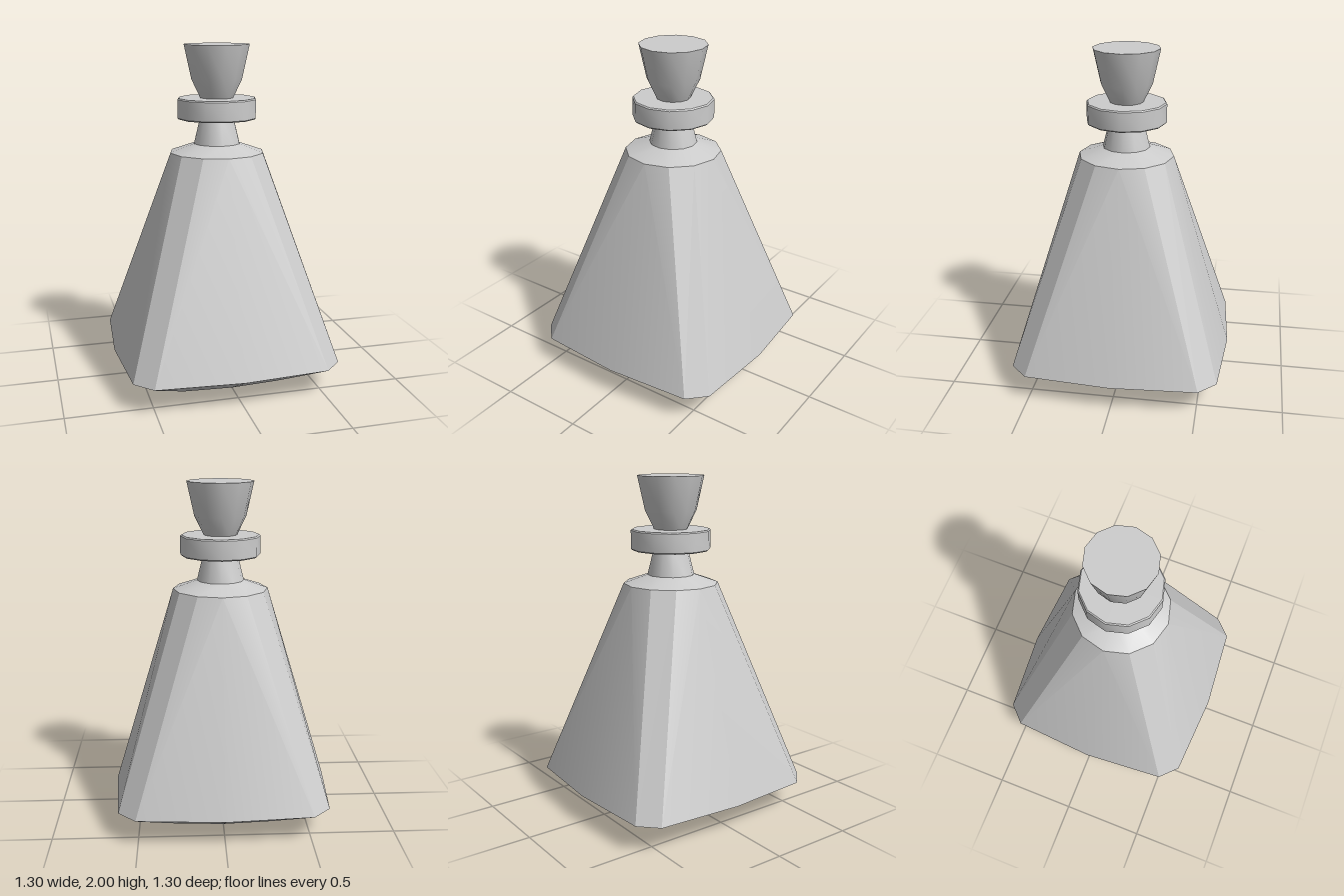
import * as THREE from 'three';
import { toCreasedNormals } from 'three/addons/utils/BufferGeometryUtils.js';

const SIDES = 12;

// Regular ring on the neck side of the body
function roundRing(r, y) {
  return Array.from({ length: SIDES }, (_, i) => {
    const a = (i / SIDES) * Math.PI * 2;
    return [r * Math.sin(a), y, r * Math.cos(a)];
  });
}

// Bulging square with cut corners: three points per quarter turn
function squareRing(scale, y) {
  const quarter = [[0, 0.65], [0.51, 0.613], [0.613, 0.51]];
  const ring = [];
  for (let q = 0; q < 4; q++) {
    const c = Math.round(Math.cos(q * Math.PI / 2)), s = Math.round(Math.sin(q * Math.PI / 2));
    for (const [x, z] of quarter) ring.push([scale * (x * c + z * s), y, scale * (z * c - x * s)]);
  }
  return ring;
}

// Joins rings from bottom to top and closes the underside
function loft(rings) {
  const pos = [];
  const tri = (...pts) => pts.forEach((p) => pos.push(...p));
  for (let r = 0; r < rings.length - 1; r++) {
    const b = rings[r], t = rings[r + 1];
    for (let i = 0; i < SIDES; i++) {
      const j = (i + 1) % SIDES;
      if (i % 3 === 0) {
        tri(b[i], b[j], t[i]);
        tri(b[j], t[j], t[i]);
      } else {
        tri(b[i], b[j], t[j]);
        tri(b[i], t[j], t[i]);
      }
    }
  }
  const base = rings[0];
  for (let i = 0; i < SIDES; i++) tri([0, base[0][1], 0], base[(i + 1) % SIDES], base[i]);
  const geo = new THREE.BufferGeometry();
  geo.setAttribute('position', new THREE.Float32BufferAttribute(pos, 3));
  return geo;
}

function lathe(profile) {
  return new THREE.LatheGeometry(profile.map(([r, y]) => new THREE.Vector2(r, y)), SIDES);
}

export function createModel() {
  const group = new THREE.Group();
  const glass = new THREE.MeshStandardMaterial({ color: 0xcccccc });
  glass.name = 'paleGrey';

  const add = (name, geo, creaseDegrees) => {
    const mesh = new THREE.Mesh(toCreasedNormals(geo, THREE.MathUtils.degToRad(creaseDegrees)), glass);
    mesh.name = name;
    group.add(mesh);
  };

  // Tapering flask body with undercut foot and sloped shoulder
  add('body', loft([
    squareRing(0.56, 0),
    squareRing(1, 0.16),
    roundRing(0.283, 1.37),
    roundRing(0.14, 1.42),
  ]), 25);

  // Neck between shoulder and collar
  add('neck', lathe([[0.14, 1.42], [0.103, 1.57]]), 32);

  // Collar with a fine bevel on both rims
  add('collar', lathe([
    [0, 1.567], [0.23, 1.567], [0.237, 1.574], [0.237, 1.683], [0.23, 1.69], [0, 1.69],
  ]), 32);

  // Flared stopper
  add('stopper', lathe([[0.1, 1.69], [0.153, 1.8], [0.197, 2], [0, 2]]), 32);

  return group;
}
